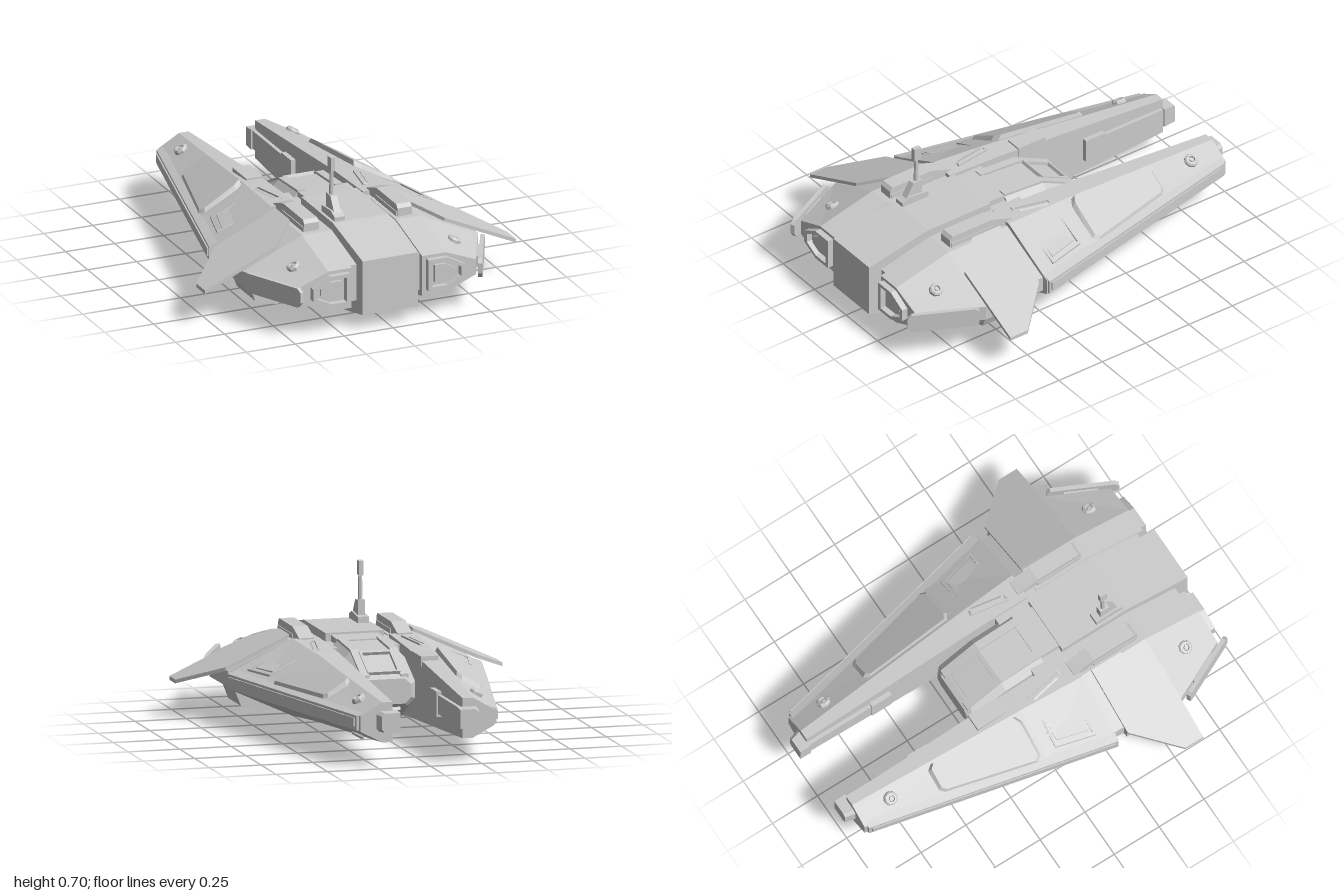
import * as THREE from 'three';

const material = new THREE.MeshStandardMaterial({ color: 0xcccccc, flatShading: true, side: THREE.DoubleSide });
const lerp = THREE.MathUtils.lerp;

// Closed solid through rings of [x, y, z] points, capped at both ends and always facing outward
function loft(rings) {
  const tris = [];
  const n = rings[0].length;
  for (let r = 0; r + 1 < rings.length; r++) {
    for (let i = 0; i < n; i++) {
      const j = (i + 1) % n, a = rings[r], b = rings[r + 1];
      tris.push([a[i], a[j], b[j]], [a[i], b[j], b[i]]);
    }
  }
  const first = rings[0], last = rings[rings.length - 1];
  for (let i = 1; i < n - 1; i++) {
    tris.push([first[0], first[i + 1], first[i]], [last[0], last[i], last[i + 1]]);
  }
  let volume = 0;
  const v = tris.map(t => t.map(p => new THREE.Vector3(...p)));
  const o = v[0][0].clone();
  for (const [a, b, c] of v) {
    volume += a.clone().sub(o).dot(b.clone().sub(o).cross(c.clone().sub(o)));
  }
  const points = v.flatMap(t => (volume < 0 ? [t[0], t[2], t[1]] : t));
  const g = new THREE.BufferGeometry().setFromPoints(points);
  g.computeVertexNormals();
  return g;
}

// Cross-section at z from [x, y] points
const section = (z, pts) => pts.map(([x, y]) => [x, y, z]);
// Prism across x from a [z, y] side profile
const sidePrism = (x0, x1, profile) => loft([x0, x1].map(x => profile.map(([z, y]) => [x, y, z])));
// Plate over an [x, z] outline following a height rule, its top drawn in by a bevel
function plate(outline, height, h, bevel = 0, depth = 0.015) {
  const cx = outline.reduce((s, p) => s + p[0], 0) / outline.length;
  const cz = outline.reduce((s, p) => s + p[1], 0) / outline.length;
  const low = outline.map(([x, z]) => [x, height(x, z) - depth, z]);
  const top = outline.map(([x, z]) => [lerp(x, cx, bevel), height(x, z) + h, lerp(z, cz, bevel)]);
  return loft([low, top]);
}

// Prong dimensions at a given z
function prongAt(z) {
  const t = (0.28 - z) / 1.23;
  const near = z > -0.05, u = near ? (0.28 - z) / 0.33 : (-0.05 - z) / 0.9;
  return {
    outer: lerp(0.605, 0.325, t), crest: lerp(0.3, 0.22, t),
    top: near ? lerp(0.4, 0.385, u) : lerp(0.385, 0.31, u),
    bottom: near ? lerp(0.035, 0.065, u) : lerp(0.065, 0.12, u),
  };
}
function prongTop(x, z) {
  const p = prongAt(z);
  return Math.min(p.top, p.top - (p.top - 0.25) * (x - p.crest) / (p.outer - p.crest));
}
const hullRing = (z, inner, crest, outer, bottom, top, k = 0) => section(z, [
  [inner, bottom + k], [crest, bottom + k], [outer, 0.175], [outer, 0.25], [crest, top - k], [inner, top - k]]);

// Rectangular or polygonal frame with a matching opening
function frame(pts, scale, depth, cx, cy) {
  const shape = new THREE.Shape(pts.map(p => new THREE.Vector2(...p)));
  shape.holes.push(new THREE.Path(pts.map(([x, y]) => new THREE.Vector2(lerp(cx, x, scale), lerp(cy, y, scale))).reverse()));
  return new THREE.ExtrudeGeometry(shape, { depth, bevelEnabled: false });
}

export function createModel() {
  const model = new THREE.Group();
  const add = (name, g, parent = model) => {
    const m = new THREE.Mesh(g, material);
    m.name = name;
    parent.add(m);
    return m;
  };
  const box = (name, x0, x1, y0, y1, z0, z1) =>
    add(name, new THREE.BoxGeometry(x1 - x0, y1 - y0, z1 - z0)
      .translate((x0 + x1) / 2, (y0 + y1) / 2, (z0 + z1) / 2));
  // Adds a part and its reflection across x = 0
  const pair = (name, g) => {
    const flat = g.index ? g.toNonIndexed() : g;
    add(name + 'Left', flat);
    const m = flat.clone().scale(-1, 1, 1), p = m.attributes.position;
    const a = new THREE.Vector3(), b = new THREE.Vector3();
    for (let i = 0; i < p.count; i += 3) {
      a.fromBufferAttribute(p, i + 1);
      b.fromBufferAttribute(p, i + 2);
      p.setXYZ(i + 1, b.x, b.y, b.z);
      p.setXYZ(i + 2, a.x, a.y, a.z);
    }
    m.computeVertexNormals();
    add(name + 'Right', m);
  };

  // Central spine and the narrower core that fills the seams beside it
  add('centralHull', sidePrism(-0.142, 0.142,
    [[0.97, 0.08], [0.97, 0.35], [0.63, 0.42], [0.27, 0.42], [0.27, 0.005], [0.63, 0.005]]));
  add('innerCore', sidePrism(-0.19, 0.19,
    [[0.9, 0.13], [0.9, 0.31], [0.62, 0.38], [0.1, 0.38], [0.1, 0.05], [0.62, 0.045]]));

  // Rear cabin with sloping windows above and below
  const cabinRing = (z, w, b, t, c) => section(z, [[-w + c, b], [w - c, b], [w, b + c], [w, t - c], [w - c, t], [-w + c, t], [-w, t - c], [-w, b + c]]);
  add('cabin', loft([cabinRing(-0.25, 0.125, 0.165, 0.285, 0.03), cabinRing(-0.225, 0.15, 0.15, 0.3, 0.035),
    cabinRing(-0.05, 0.15, 0.05, 0.385, 0.035), cabinRing(0.17, 0.15, 0.03, 0.4, 0.035)]));
  add('cabinNeck', cabinGeometry());
  function cabinGeometry() {
    return sidePrism(-0.115, 0.115, [[0.3, 0.025], [0.3, 0.412], [0.15, 0.405], [0.15, 0.03]]);
  }
  const windowPts = [[-0.08, -0.085], [0.08, -0.085], [0.08, 0.085], [-0.08, 0.085]];
  for (const [name, angle, y] of [['upperWindow', -Math.PI / 2 - 0.45, 0.338], ['lowerWindow', Math.PI / 2 + 0.52, 0.105]]) {
    const w = add(name + 'Frame', frame(windowPts, 0.84, 0.018, 0, 0));
    w.position.set(0, y, -0.143);
    w.rotation.x = angle;
  }
  pair('cabinRib', sidePrism(0.075, 0.115, [[0.17, 0.39], [0.17, 0.412], [-0.05, 0.397], [-0.24, 0.305], [-0.24, 0.28], [-0.05, 0.37]]));

  // Long rear prongs
  pair('prong', loft([-0.95, -0.05, 0.28].map(z => {
    const p = prongAt(z);
    return hullRing(z, 0.17, p.crest, p.outer, p.bottom, p.top);
  })));
  pair('prongRail', loft([-0.935, 0.275].map(z => {
    const o = prongAt(z).outer;
    return section(z, [[o - 0.03, 0.18], [o + 0.012, 0.18], [o + 0.012, 0.25], [o - 0.03, 0.265]]);
  })));
  pair('prongRailStrip', loft([-0.92, 0.26].map(z => {
    const o = prongAt(z).outer;
    return section(z, [[o, 0.198], [o + 0.019, 0.198], [o + 0.019, 0.238], [o, 0.238]]);
  })));
  pair('raisedPanel', plate([[0.255, -0.55], [0.275, -0.575], [0.37, -0.575], [0.39, -0.555], [0.508, -0.085],
    [0.49, -0.06], [0.32, -0.06], [0.285, -0.08]], prongTop, 0.02, 0.1));

  // Framed service panels on the prong shoulders
  const bay = [[0.205, 0.2], [0.24, 0.01], [0.49, 0.005], [0.54, 0.2]];
  for (let i = 0; i < 4; i++) {
    const a = bay[i], b = bay[(i + 1) % 4];
    const inset = ([x, z]) => [lerp(x, 0.37, 0.08), lerp(z, 0.105, 0.1)];
    pair('bayFrame' + (i + 1), plate([a, b, inset(b), inset(a)], prongTop, 0.009));
  }
  pair('bayCover', plate(bay.map(([x, z]) => [lerp(x, 0.37, 0.2), lerp(z, 0.105, 0.22)]), prongTop, 0.004));
  box('rearSensorBox', -0.25, -0.165, 0.34, 0.388, -0.27, -0.115);

  // Prong tips and inner strips
  pair('prongTip', loft([section(-1, [[0.145, 0.175], [0.22, 0.175], [0.235, 0.19], [0.235, 0.25], [0.22, 0.265], [0.145, 0.265]]),
    section(-0.94, [[0.145, 0.17], [0.235, 0.17], [0.25, 0.185], [0.25, 0.255], [0.235, 0.27], [0.145, 0.27]])]));
  pair('innerStrip', new THREE.BoxGeometry(0.04, 0.09, 0.4).translate(0.172, 0.22, -0.78));
  pair('innerLatch', new THREE.BoxGeometry(0.04, 0.12, 0.11).translate(0.166, 0.22, -0.545));

  // Seam between prongs and front hulls
  pair('seamFill', loft([0.26, 0.35].map(z => hullRing(z, 0.1, 0.29, 0.57, 0.05, 0.38))));

  // Front side hulls
  pair('frontHull', loft([hullRing(0.335, 0.18, 0.3, 0.595, 0.04, 0.385), hullRing(0.63, 0.18, 0.3, 0.6, 0.04, 0.385),
    hullRing(0.93, 0.18, 0.3, 0.455, 0.11, 0.31)]));
  const port = [[0.2, 0.14], [0.3, 0.14], [0.39, 0.185], [0.39, 0.245], [0.3, 0.295], [0.2, 0.295]];
  const innerPort = port.map(([x, y]) => [lerp(0.285, x, 0.55), lerp(0.217, y, 0.55)]);
  pair('portFrame', frame(port, 0.78, 0.035, 0.285, 0.217).translate(0, 0, 0.925));
  pair('portCore', loft([section(0.92, innerPort), section(0.945, innerPort)]));

  // Swept wings lying on the shoulders
  pair('wing', plate([[0.3, 0.33], [0.61, 0.33], [0.795, 0.53], [0.795, 0.63], [0.43, 0.63], [0.3, 0.49]],
    x => 0.4 - (x - 0.3) * 0.455, 0.012, 0, 0.006));

  // Angled guard plates at the front corners
  const guard = [[-0.17, 0.185], [-0.155, 0.17], [0.15, 0.17], [0.17, 0.195], [0.17, 0.245], [0.15, 0.265], [-0.155, 0.265], [-0.17, 0.25]];
  pair('guardPlate', sidePrism(-0.01, 0.01, guard).rotateY(-0.455).translate(0.53, 0, 0.825));
  pair('guardMount', new THREE.BoxGeometry(0.05, 0.05, 0.16).rotateY(-0.455).translate(0.515, 0.215, 0.805));

  // Lower side bulges
  pair('lowerBulge', loft([0.38, 0.59].map(z => section(z, [[0.3, 0.08], [0.41, 0.042], [0.52, 0.075], [0.55, 0.15], [0.5, 0.18]]))));

  // Roof pods
  pair('roofPod', sidePrism(0.202, 0.275, [[0.6, 0.36], [0.6, 0.425], [0.585, 0.442], [0.36, 0.442], [0.25, 0.405], [0.25, 0.36]]));
  pair('roofPodCollar', new THREE.BoxGeometry(0.082, 0.025, 0.24).translate(0.2385, 0.395, 0.475));

  // Octagonal hatches above and below
  const hatch = [[0, -0.01], [0.034, -0.01], [0.034, 0.008], [0.027, 0.016], [0.018, 0.016], [0.016, 0.007], [0.01, 0.007], [0.008, 0.014], [0, 0.014]]
    .map(p => new THREE.Vector2(...p));
  for (const [name, x, y, z, tilt] of [['rearUpper', 0.285, 0.298, -0.78, -0.52], ['rearLower', 0.285, 0.136, -0.78, Math.PI + 0.5],
    ['frontUpper', 0.41, 0.298, 0.78, -0.44], ['frontLower', 0.41, 0.128, 0.78, Math.PI + 0.44]]) {
    pair(name + 'Hatch', new THREE.LatheGeometry(hatch, 8).rotateZ(tilt).translate(x, y, z));
  }

  // Antenna
  add('antennaBase', sidePrism(-0.128, -0.074, [[0.62, 0.41], [0.62, 0.44], [0.575, 0.46], [0.47, 0.45], [0.47, 0.41]]));
  add('antennaBlock', sidePrism(-0.118, -0.084, [[0.6, 0.44], [0.55, 0.52], [0.5, 0.525], [0.5, 0.44]]));
  add('antennaMast', new THREE.CylinderGeometry(0.009, 0.012, 0.14, 8).translate(-0.101, 0.585, 0.523));
  box('antennaHead', -0.112, -0.09, 0.64, 0.708, 0.503, 0.541);

  // Belly turret
  add('bellyTurret', new THREE.CylinderGeometry(0.075, 0.04, 0.04, 8).translate(0, 0.03, 0.06));
  pair('bellyBarrel', new THREE.CylinderGeometry(0.009, 0.009, 0.2, 8).rotateX(Math.PI / 2).translate(0.03, 0.018, 0.06));

  return model;
}
